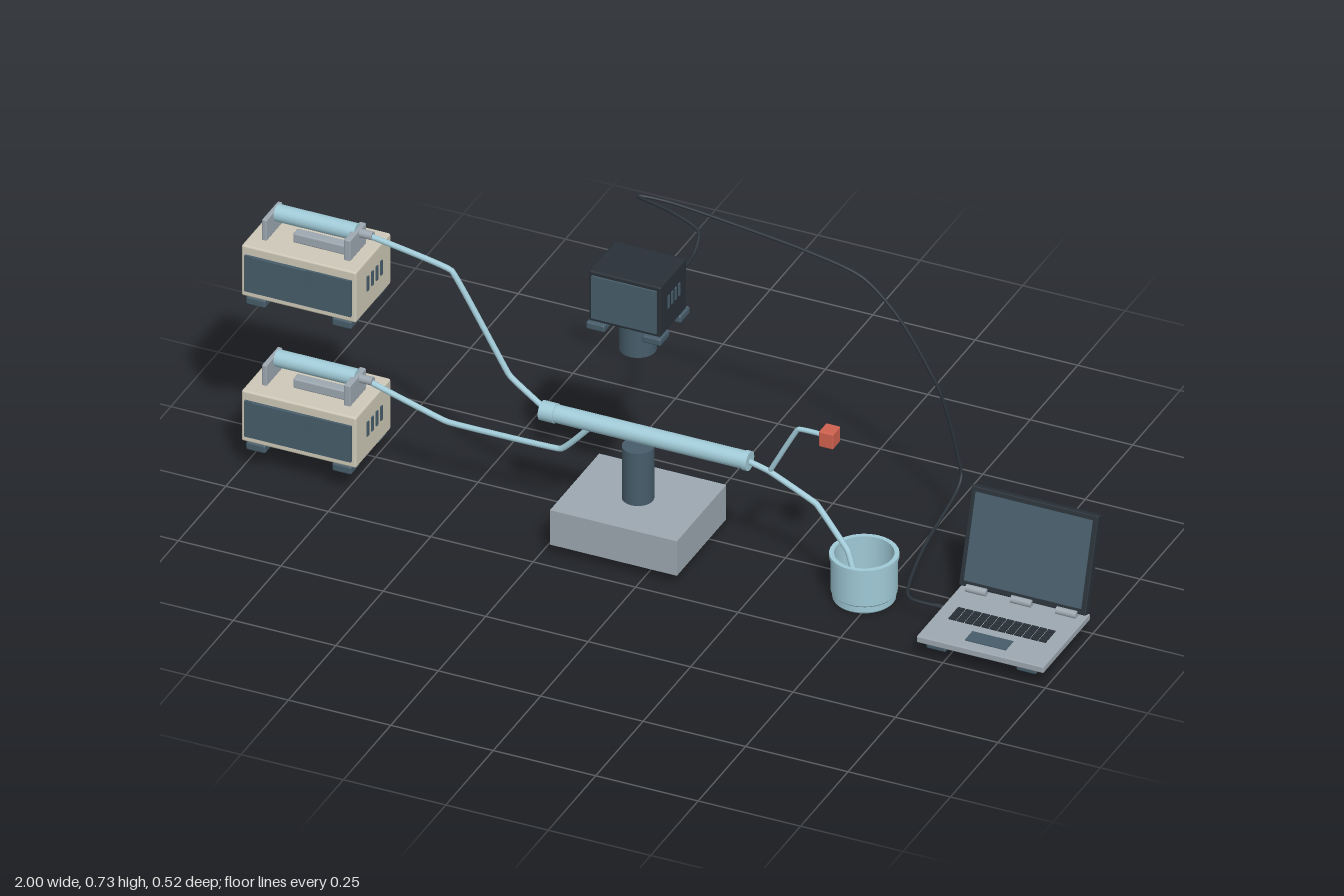
import * as THREE from 'three';
import { RoundedBoxGeometry } from 'three/addons/geometries/RoundedBoxGeometry.js';

const mat = (name, color) => {
  const m = new THREE.MeshStandardMaterial({ color });
  m.name = name;
  return m;
};

export function createModel() {
  const blue = mat('pale blue', 0x9fc9d6), slate = mat('slate', 0x465c69);
  const dark = mat('charcoal', 0x283037), gray = mat('gray', 0x9da7b0);
  const cream = mat('cream', 0xcdc8b7), red = mat('red', 0xd0614f);
  const root = new THREE.Group();
  root.name = 'flowReactorBench';

  const group = (name, parent = root) => {
    const g = new THREE.Group();
    g.name = name;
    parent.add(g);
    return g;
  };
  const add = (parent, name, geometry, material) => {
    const m = new THREE.Mesh(geometry, material);
    m.name = name;
    parent.add(m);
    return m;
  };
  // Box given by its min and max on each axis, optionally with rounded edges
  const box = (parent, name, material, [x0, x1], [y0, y1], [z0, z1], r = 0) => {
    const s = [x1 - x0, y1 - y0, z1 - z0];
    const m = add(parent, name, r ? new RoundedBoxGeometry(...s, 2, r) : new THREE.BoxGeometry(...s), material);
    m.position.set((x0 + x1) / 2, (y0 + y1) / 2, (z0 + z1) / 2);
    return m;
  };
  // Cylinder along an axis, centred at p
  const cyl = (parent, name, material, r, len, p, axis = 'y') => {
    const m = add(parent, name, new THREE.CylinderGeometry(r, r, len, 32), material);
    if (axis === 'x') m.rotation.z = Math.PI / 2;
    if (axis === 'z') m.rotation.x = Math.PI / 2;
    m.position.set(...p);
    return m;
  };
  // Hose through points, with tight bends
  const hose = (name, material, r, pts, tension = 0.1, parent = root) => {
    const c = new THREE.CatmullRomCurve3(pts.map(p => new THREE.Vector3(...p)), false, 'catmullrom', tension);
    return add(parent, name, new THREE.TubeGeometry(c, pts.length * 14, r, 10), material);
  };

  // Syringe pumps, one above the other
  for (const [label, y] of [['lowerPump', 0], ['upperPump', 0.38]]) {
    const p = group(label);
    p.position.y = y;
    box(p, 'housing', cream, [-1, -0.72], [0.075, 0.207], [-0.016, 0.169], 0.005);
    box(p, 'frontPanel', slate, [-0.99, -0.73], [0.092, 0.185], [0.167, 0.175]);
    box(p, 'display', slate, [-0.97, -0.84], [0.135, 0.185], [0.174, 0.178]);
    for (const x of [-0.965, -0.755])
      for (const z of [0.004, 0.146])
        box(p, 'foot', slate, [x - 0.024, x + 0.024], [0.055, 0.076], [z - 0.024, z + 0.024], 0.005);
    for (let i = 0; i < 4; i++)
      box(p, 'vent', slate, [-0.721, -0.717], [0.128, 0.165], [0.033 + i * 0.024, 0.041 + i * 0.024]);
    box(p, 'pusherPlate', gray, [-0.968, -0.956], [0.205, 0.26], [0.045, 0.13], 0.003);
    box(p, 'tipPlate', gray, [-0.768, -0.752], [0.205, 0.26], [0.045, 0.13], 0.003);
    box(p, 'rail', gray, [-0.9, -0.755], [0.207, 0.232], [0.088, 0.113], 0.004);
    cyl(p, 'barrel', blue, 0.02, 0.195, [-0.858, 0.25, 0.075], 'x');
    cyl(p, 'nozzle', gray, 0.01, 0.03, [-0.737, 0.25, 0.075], 'x');
  }
  hose('upperFeedHose', blue, 0.007,
    [[-0.74, 0.63, 0.075], [-0.53, 0.59, 0.075], [-0.39, 0.355, 0.075], [-0.3, 0.288, 0.075]]);
  hose('lowerFeedHose', blue, 0.007,
    [[-0.74, 0.25, 0.075], [-0.54, 0.192, 0.075], [-0.265, 0.194, 0.075], [-0.19, 0.272, 0.075]]);

  // Reactor tube over its stand
  const reactor = group('reactor');
  cyl(reactor, 'reactorTube', blue, 0.021, 0.5, [-0.055, 0.284, 0.075], 'x');
  cyl(reactor, 'inletCollar', blue, 0.023, 0.035, [-0.292, 0.284, 0.075], 'x');
  cyl(reactor, 'outletCollar', blue, 0.023, 0.012, [0.192, 0.284, 0.075], 'x');
  cyl(reactor, 'post', slate, 0.036, 0.138, [-0.075, 0.184, 0.075]);
  box(reactor, 'standBase', gray, [-0.23, 0.08], [0.027, 0.117], [-0.055, 0.205]);

  // Outlet hose, side branch and sensor
  hose('outletHose', blue, 0.007, [[0.19, 0.284, 0.075], [0.245, 0.27, 0.075], [0.36, 0.215, 0.075],
    [0.46, 0.15, 0.127], [0.48, 0.11, 0.14]]);
  hose('branchHose', blue, 0.006, [[0.245, 0.268, 0.075], [0.315, 0.398, 0.075], [0.385, 0.4, 0.075]]);
  box(root, 'sensorCube', red, [0.375, 0.41], [0.38, 0.42], [0.055, 0.095], 0.003);

  // Open collecting beaker, closed profile from the outside to the inside
  const profile = [[0, 0], [0.068, 0], [0.071, 0.004], [0.071, 0.018], [0.0745, 0.022], [0.0745, 0.105],
    [0.078, 0.107], [0.078, 0.117], [0.067, 0.117], [0.067, 0.02], [0, 0.02]];
  const lathe = [];
  for (let i = 0; i < profile.length - 1; i++) {
    // Each band is its own surface so its edges stay sharp
    lathe.push(profile.slice(i, i + 2).map(q => new THREE.Vector2(...q)));
  }
  const beaker = group('beaker');
  beaker.position.set(0.477, 0.002, 0.075);
  lathe.forEach(band => add(beaker, 'beakerWall', new THREE.LatheGeometry(band, 40), blue));

  // Overhead camera
  const cam = group('camera');
  box(cam, 'cameraBody', dark, [-0.163, 0.012], [0.597, 0.727], [0.007, 0.145], 0.004);
  box(cam, 'cameraFront', slate, [-0.155, 0.004], [0.607, 0.717], [0.144, 0.15]);
  for (const x of [-0.144, -0.007])
    for (const z of [0.021, 0.128])
      box(cam, 'cameraFoot', slate, [x - 0.023, x + 0.023], [0.578, 0.597], [z - 0.025, z + 0.025], 0.005);
  cyl(cam, 'lensRing', gray, 0.046, 0.016, [-0.075, 0.59, 0.075]);
  cyl(cam, 'lens', slate, 0.042, 0.076, [-0.075, 0.546, 0.075]);
  for (let i = 0; i < 4; i++)
    box(cam, 'cameraVent', slate, [0.011, 0.015], [0.654, 0.685], [0.045 + i * 0.0185, 0.053 + i * 0.0185]);
  box(cam, 'connectorPlate', gray, [-0.14, 0], [0.635, 0.688], [-0.003, 0.008]);
  cyl(cam, 'plug', dark, 0.0055, 0.035, [-0.015, 0.67, -0.02], 'z');

  // Data cable from camera to laptop
  hose('dataCable', dark, 0.004, [[-0.015, 0.67, -0.01], [-0.017, 0.67, -0.085], [-0.03, 0.7, -0.145],
    [-0.11, 0.718, -0.168], [-0.2, 0.722, -0.19], [-0.13, 0.71, -0.213], [0.015, 0.685, -0.227],
    [0.2, 0.655, -0.234], [0.33, 0.618, -0.239], [0.425, 0.52, -0.243], [0.515, 0.36, -0.246],
    [0.555, 0.19, -0.256], [0.563, 0.15, -0.248], [0.565, 0.125, -0.2], [0.567, 0.09, -0.05],
    [0.585, 0.066, 0.07], [0.61, 0.056, 0.115], [0.7, 0.054, 0.115]], 0.4);

  // Laptop
  const laptop = group('laptop');
  box(laptop, 'laptopBase', gray, [0.69, 1], [0.045, 0.062], [0.013, 0.26], 0.003);
  cyl(laptop, 'cablePlug', dark, 0.006, 0.025, [0.682, 0.054, 0.115], 'x');
  for (const x of [0.735, 0.955])
    for (const z of [0.061, 0.231])
      box(laptop, 'laptopFoot', slate, [x - 0.024, x + 0.024], [0.033, 0.046], [z - 0.024, z + 0.024], 0.004);
  for (let row = 0; row < 4; row++)
    for (let k = 0; k < 12; k++) {
      const x = 0.725 + k * 0.02, z = 0.115 + row * 0.0135;
      box(laptop, 'key', dark, [x, x + 0.017], [0.061, 0.065], [z, z + 0.011]);
    }
  box(laptop, 'touchpad', slate, [0.795, 0.895], [0.061, 0.064], [0.192, 0.232]);
  for (const x of [0.735, 0.845, 0.955])
    cyl(laptop, 'hinge', gray, 0.009, 0.05, [x, 0.068, 0.04], 'x');
  // Lid leans back about its lower edge
  const lid = group('lid', laptop);
  lid.position.set(0.845, 0.066, 0.028);
  lid.rotation.x = -0.305;
  box(lid, 'lidShell', dark, [-0.155, 0.155], [0, 0.232], [-0.011, 0.011], 0.003);
  box(lid, 'screen', slate, [-0.143, 0.143], [0.014, 0.22], [0.01, 0.013]);

  return root;
}
